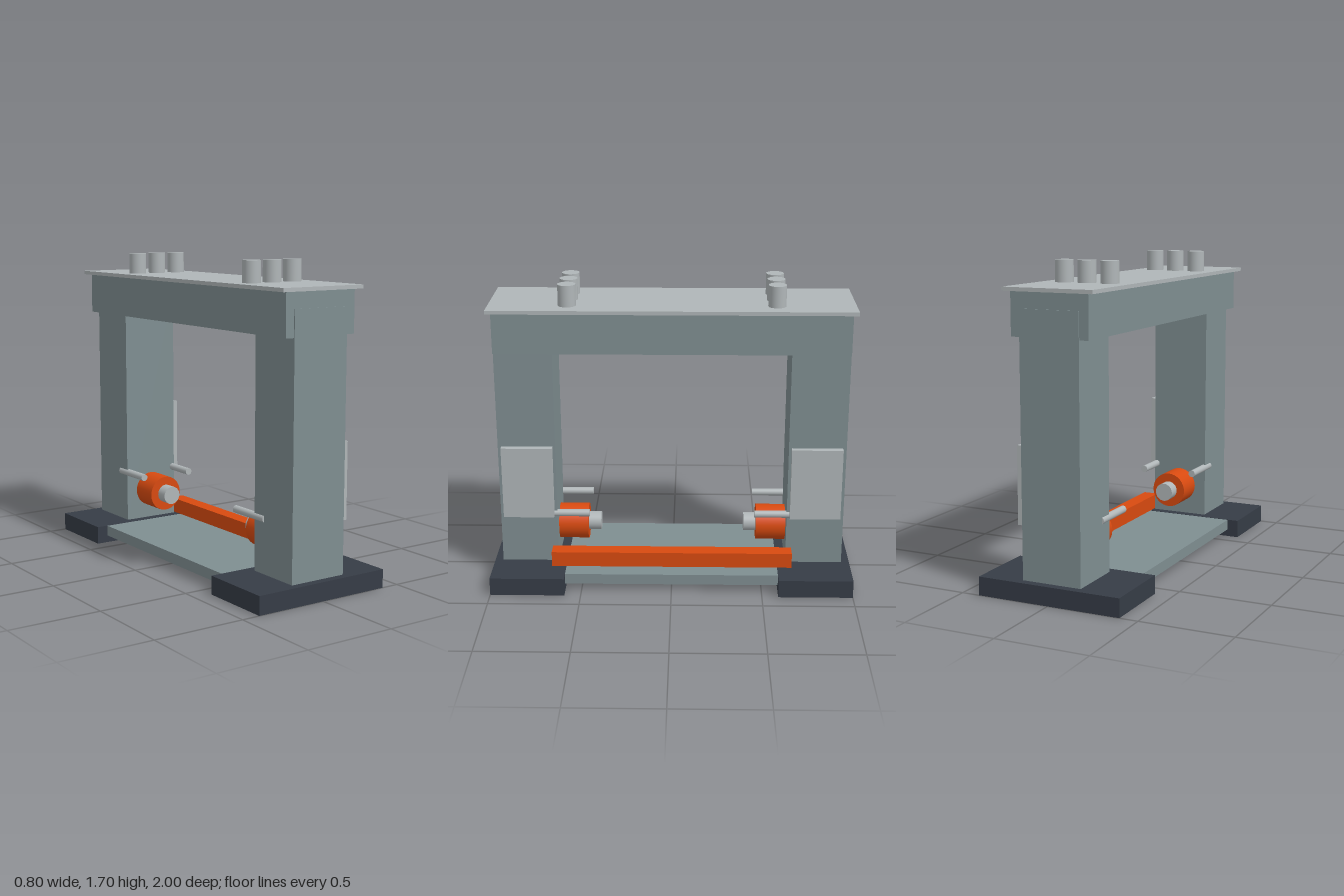
import * as THREE from 'three';

const mat = (name, color) => {
  const m = new THREE.MeshStandardMaterial({ color });
  m.name = name;
  return m;
};

export function createModel() {
  const steel = mat('steel grey', 0x7f8e91);
  const light = mat('light grey', 0xb0b6b8);
  const dark = mat('dark charcoal', 0x363c46);
  const orange = mat('safety orange', 0xd84a10);
  const model = new THREE.Group();
  model.name = 'gantryFrame';

  // Box given by its low and high limits on each axis
  const box = (name, m, [x0, x1], [y0, y1], [z0, z1], parent = model) => {
    const mesh = new THREE.Mesh(new THREE.BoxGeometry(x1 - x0, y1 - y0, z1 - z0), m);
    mesh.position.set((x0 + x1) / 2, (y0 + y1) / 2, (z0 + z1) / 2);
    mesh.name = name;
    parent.add(mesh);
  };

  // Cylinder standing on y, or lying along z
  const rod = (name, m, r, length, x, y, z, alongZ, parent) => {
    const geo = new THREE.CylinderGeometry(r, r, length, 32);
    if (alongZ) geo.rotateX(Math.PI / 2);
    const mesh = new THREE.Mesh(geo, m);
    mesh.position.set(x, y, z);
    mesh.name = name;
    parent.add(mesh);
  };

  // Shared structure
  box('baseSlab', steel, [-0.335, 0.335], [0.04, 0.099], [-0.6, 0.6]);
  box('topBeam', steel, [-0.215, 0.215], [1.335, 1.56], [-0.95, 0.95]);
  box('topPlate', light, [-0.25, 0.25], [1.56, 1.58], [-0.975, 0.975]);
  box('guardBar', orange, [0.165, 0.25], [0.105, 0.19], [-0.67, 0.67]);

  // The two end stands mirror each other in z
  for (const s of [1, -1]) {
    const stand = new THREE.Group();
    stand.name = s > 0 ? 'frontStand' : 'backStand';
    model.add(stand);
    const span = (a, b) => (s > 0 ? [a, b] : [-b, -a]);

    box('foot', dark, [-0.4, 0.4], [0, 0.1], span(0.59, 1), stand);
    box('column', steel, [-0.165, 0.165], [0.1, 1.475], span(0.64, 0.955), stand);
    box('sidePanel', light, [0.165, 0.2], [0.38, 0.79], span(0.655, 0.935), stand);

    // Headstock facing the middle
    rod('chuck', orange, 0.1, 0.165, 0, 0.274, s * 0.5575, true, stand);
    rod('spindle', light, 0.052, 0.08, 0, 0.274, s * 0.445, true, stand);

    for (const x of [-0.155, 0.155]) {
      rod('guidePin', light, 0.02, 0.26, x, 0.39, s * 0.59, true, stand);
    }
    for (const x of [-0.13, 0, 0.13]) {
      rod('topPost', light, 0.048, 0.115, x, 1.6375, s * 0.555, false, stand);
    }
  }
  return model;
}
